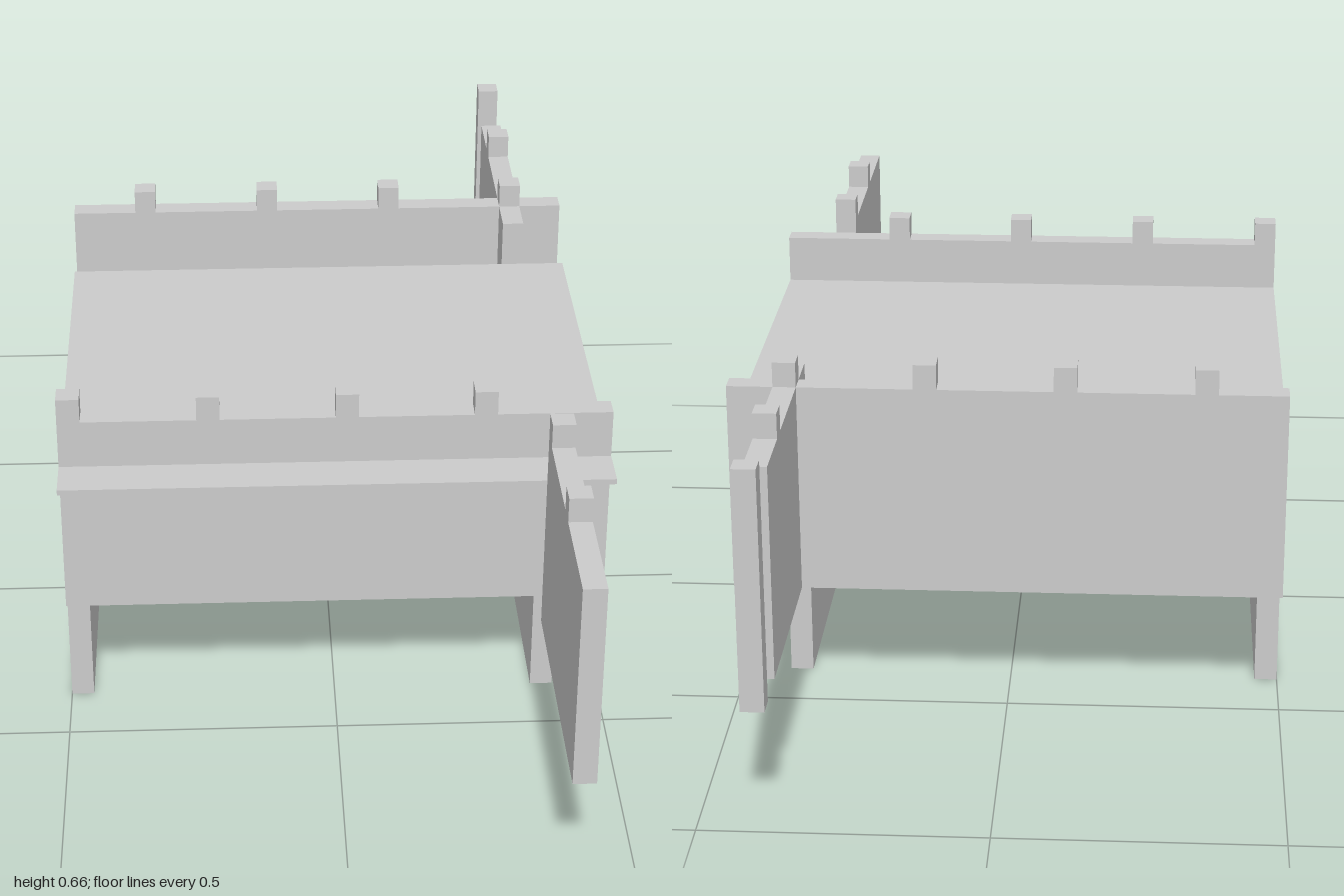
import * as THREE from 'three';

const T = 0.0417;                      // panel thickness
const BASE = 0.226, TOP = 0.616, CREST = 0.662;
const SIDE_X = 0.375;                  // inner face of the left-hand panels
const PLATE = 0.0104;                  // thickness of the thin sheets

const material = new THREE.MeshStandardMaterial({ color: 0xcccccc, flatShading: true });

export function createModel() {
  const model = new THREE.Group();

  function add(name, geometry) {
    const mesh = new THREE.Mesh(geometry, material);
    mesh.name = name;
    model.add(mesh);
    return mesh;
  }

  // Box given by its minimum and maximum corners
  function box(name, x0, x1, y0, y1, z0, z1) {
    add(name, new THREE.BoxGeometry(x1 - x0, y1 - y0, z1 - z0))
      .position.set((x0 + x1) / 2, (y0 + y1) / 2, (z0 + z1) / 2);
  }

  // Crenellated panel: runs along local x, thickness along local z
  function wall(name, length, merlons) {
    const shape = new THREE.Shape();
    shape.moveTo(0, BASE);
    shape.lineTo(length, BASE);
    shape.lineTo(length, TOP);
    for (const u of [...merlons].reverse()) {
      shape.lineTo(u + T, TOP);
      shape.lineTo(u + T, CREST);
      shape.lineTo(u, CREST);
      if (u > 0) shape.lineTo(u, TOP);
    }
    if (merlons[0] > 0) shape.lineTo(0, TOP);
    return add(name, new THREE.ExtrudeGeometry(shape, { depth: T, bevelEnabled: false }));
  }

  // Long walls, with staggered merlons
  wall('frontWall', 1, [0, 0.25, 0.5, 0.75]).position.set(-0.5, 0, 0.375);
  wall('backWall', 1, [0.125, 0.375, 0.625, 0.875]).position.set(-0.5, 0, -0.5);

  // Short walls running out to the front and the back
  const frontWing = wall('frontWingWall', 0.5, [0, 0.25]);
  frontWing.position.set(SIDE_X + T, 0, 0.5);
  const backWing = wall('backWingWall', 0.5, [0.125, 0.375]);
  backWing.position.set(SIDE_X + T, 0, -0.875);
  for (const wing of [frontWing, backWing]) wing.rotation.y = -Math.PI / 2;

  // Free-standing post behind the back wing
  box('cornerPost', SIDE_X, SIDE_X + T, BASE, CREST, -1, -1 + T);

  // Lower side panels
  box('rightSidePanel', -0.5, -0.5 + T, 0, 0.302, -0.375, 0.375);
  box('leftSidePanel', SIDE_X, SIDE_X + T, 0, 0.302, -0.375, 0.375);

  // Roof sheet
  box('roofDeck', -0.5, 0.5, 0.5146, 0.525, -0.375, 0.5);

  // Two rows of small plates below
  for (const z of [-0.375, 0.125]) {
    for (const x of [-0.25, 0, 0.25]) {
      box('floorPlate', x, x + 0.125, 0.2145, 0.2145 + PLATE, z, z + 0.25);
    }
  }

  return model;
}
